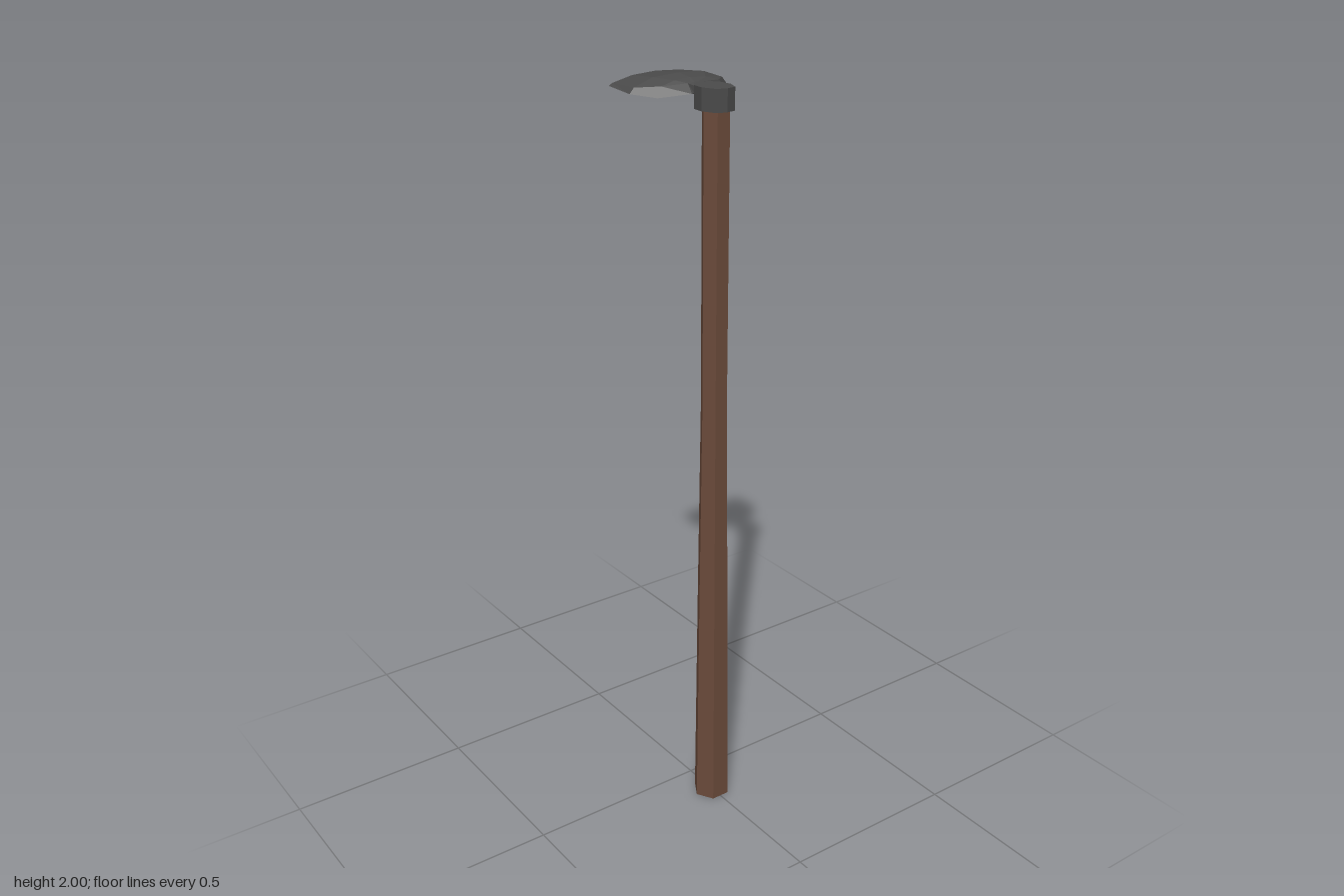
import * as THREE from 'three';

const wood = new THREE.MeshStandardMaterial({ color: 0x6a4a3a });
wood.name = 'brown wood';
const metal = new THREE.MeshStandardMaterial({ color: 0x4b4b4b });
metal.name = 'dark metal';

// Faceted mesh: every face gets its own normal
function facetedMesh(geometry, material, name) {
  const flat = geometry.index ? geometry.toNonIndexed() : geometry;
  flat.computeVertexNormals();
  const mesh = new THREE.Mesh(flat, material);
  mesh.name = name;
  return mesh;
}

// Six-sided shaft, thicker towards the foot
function makeHandle() {
  const profile = [[0, 0], [0.051, 0], [0.044, 0.6], [0.036, 1.2], [0.036, 1.945], [0, 1.945]];
  const geometry = new THREE.LatheGeometry(
    profile.map(([r, y]) => new THREE.Vector2(r, y)), 6, Math.PI / 6);
  const handle = facetedMesh(geometry, wood, 'handle');
  handle.position.z = 0.1;
  return handle;
}

// Collar around the shaft top, narrowing towards the blade
function makeCollar() {
  const half = [[0.027, 0.138], [0.042, 0.1], [0.038, 0.065], [0.02, 0.04]];
  const outline = [[0, 0.145], ...half, ...half.map(([x, z]) => [-x, z]).reverse()];
  const shape = new THREE.Shape(outline.map(([x, z]) => new THREE.Vector2(x, -z)));
  const geometry = new THREE.ExtrudeGeometry(shape, { depth: 0.055, bevelEnabled: false });
  geometry.rotateX(-Math.PI / 2);
  geometry.translate(0, 1.935, 0);
  return facetedMesh(geometry, metal, 'collar');
}

// Arched blade lofted from neck to cutting edge
function makeBlade() {
  // Each row: thickness, then rim, shoulder, mid and ridge points of the left half
  const rows = [
    [0.018, [0.022, 1.966, 0.045], [0.02, 1.983, 0.045], [0.01, 1.984, 0.045], [0, 1.984, 0.045]],
    [0.018, [0.024, 1.964, 0.038], [0.02, 1.985, 0.015], [0.01, 1.986, 0.015], [0, 1.987, 0.015]],
    [0.014, [0.1, 1.957, 0.005], [0.085, 1.982, -0.002], [0.045, 1.992, -0.003], [0, 1.995, 0.005 - 0.01]],
    [0.012, [0.142, 1.963, -0.05], [0.13, 1.977, -0.05], [0.075, 1.996, -0.05], [0, 2, -0.05]],
    [0.006, [0.137, 1.968, -0.148], [0.127, 1.974, -0.148], [0.07, 1.987, -0.148], [0, 1.991, -0.148]],
  ];
  const positions = [];
  const indices = [];
  const n = 12;
  const quad = (a, b, c, d) => indices.push(a, b, c, a, c, d);

  for (const [thickness, ...half] of rows) {
    const top = [
      ...half.map(([x, y, z]) => [-x, y, z]),
      ...half.slice(0, 3).reverse(),
    ];
    const under = top.slice(1, 6).reverse().map(([x, y, z]) => [x, y - thickness, z]);
    positions.push(...top.flat(), ...under.flat());
  }
  for (let r = 0; r < rows.length - 1; r++) {
    for (let j = 0; j < n; j++) {
      const k = (j + 1) % n;
      quad(r * n + j, r * n + k, (r + 1) * n + k, (r + 1) * n + j);
    }
  }
  // Close the neck and the cutting edge
  const last = (rows.length - 1) * n;
  for (let j = 0; j < 6; j++) {
    const lower = (n - j) % n;
    const lowerNext = n - j - 1;
    quad(j, lower, lowerNext, j + 1);
    quad(last + j, last + j + 1, last + lowerNext, last + lower);
  }

  const geometry = new THREE.BufferGeometry();
  geometry.setAttribute('position', new THREE.Float32BufferAttribute(positions, 3));
  geometry.setIndex(indices);
  return facetedMesh(geometry, metal, 'blade');
}

export function createModel() {
  const group = new THREE.Group();
  group.name = 'hoe';
  group.add(makeHandle(), makeCollar(), makeBlade());
  return group;
}
